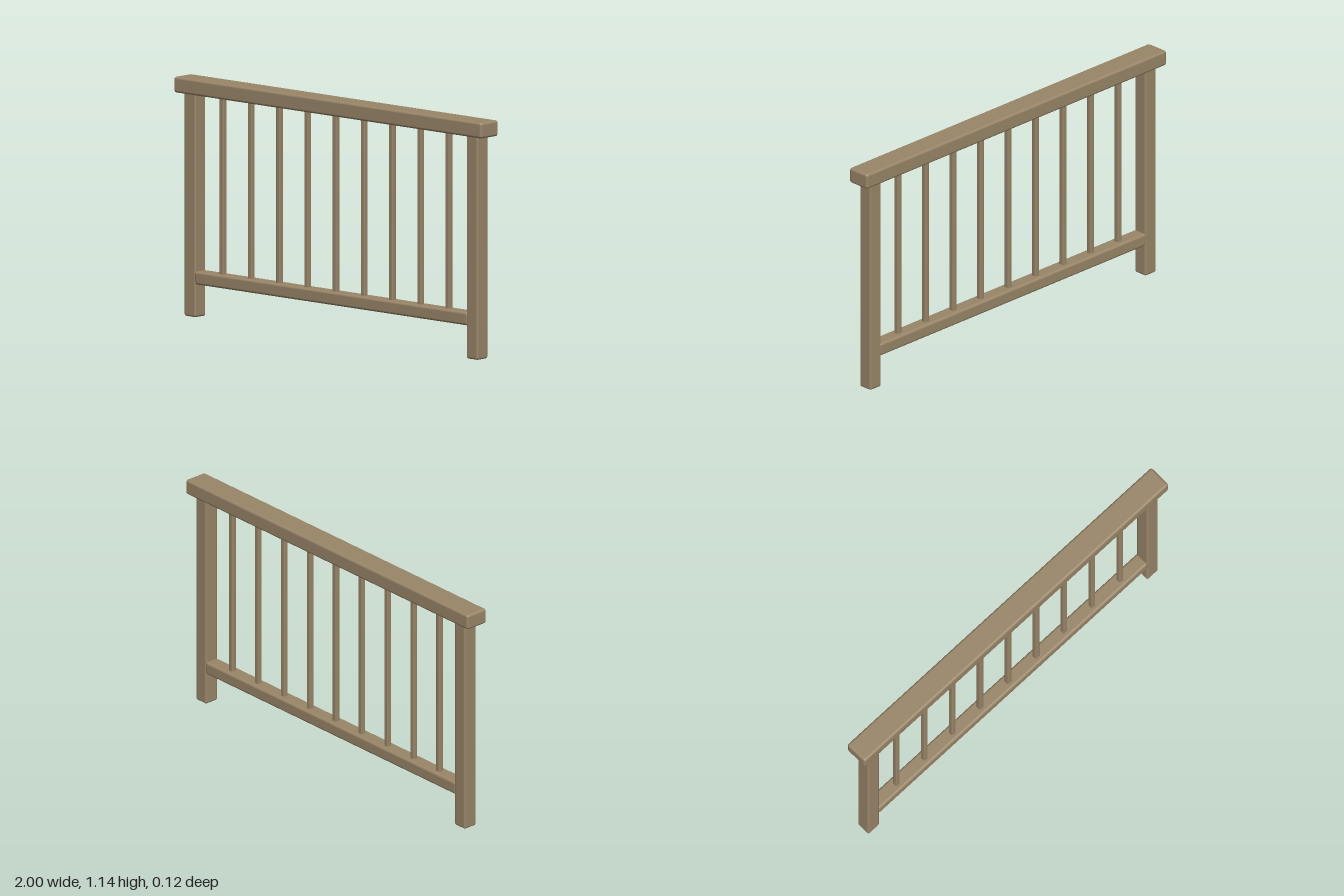
import * as THREE from 'three';
import { RoundedBoxGeometry } from 'three/addons/geometries/RoundedBoxGeometry.js';

export function createModel() {
  const group = new THREE.Group();
  group.name = 'railing';
  const wood = new THREE.MeshStandardMaterial({ color: 0x9a8669 });
  wood.name = 'weathered wood';

  // Softly rounded timber, placed by its centre x and its bottom and top heights
  function timber(name, width, depth, bottom, top, x, radius) {
    const geometry = new RoundedBoxGeometry(width, top - bottom, depth, 3, radius);
    const mesh = new THREE.Mesh(geometry, wood);
    mesh.name = name;
    mesh.position.set(x, (bottom + top) / 2, 0);
    group.add(mesh);
  }

  // Rails
  timber('handrail', 2, 0.12, 1.065, 1.141, 0, 0.012);
  timber('lowerRail', 1.774, 0.074, 0.157, 0.22, 0, 0.012);

  // End posts
  timber('leftPost', 0.074, 0.074, 0, 1.08, 0.917, 0.01);
  timber('rightPost', 0.074, 0.074, 0, 1.08, -0.917, 0.01);

  // Balusters, tucked into both rails
  for (let i = 0; i < 9; i++) {
    timber('baluster' + (i + 1), 0.026, 0.026, 0.2, 1.08, (i - 4) * 0.1835, 0.006);
  }
  return group;
}
